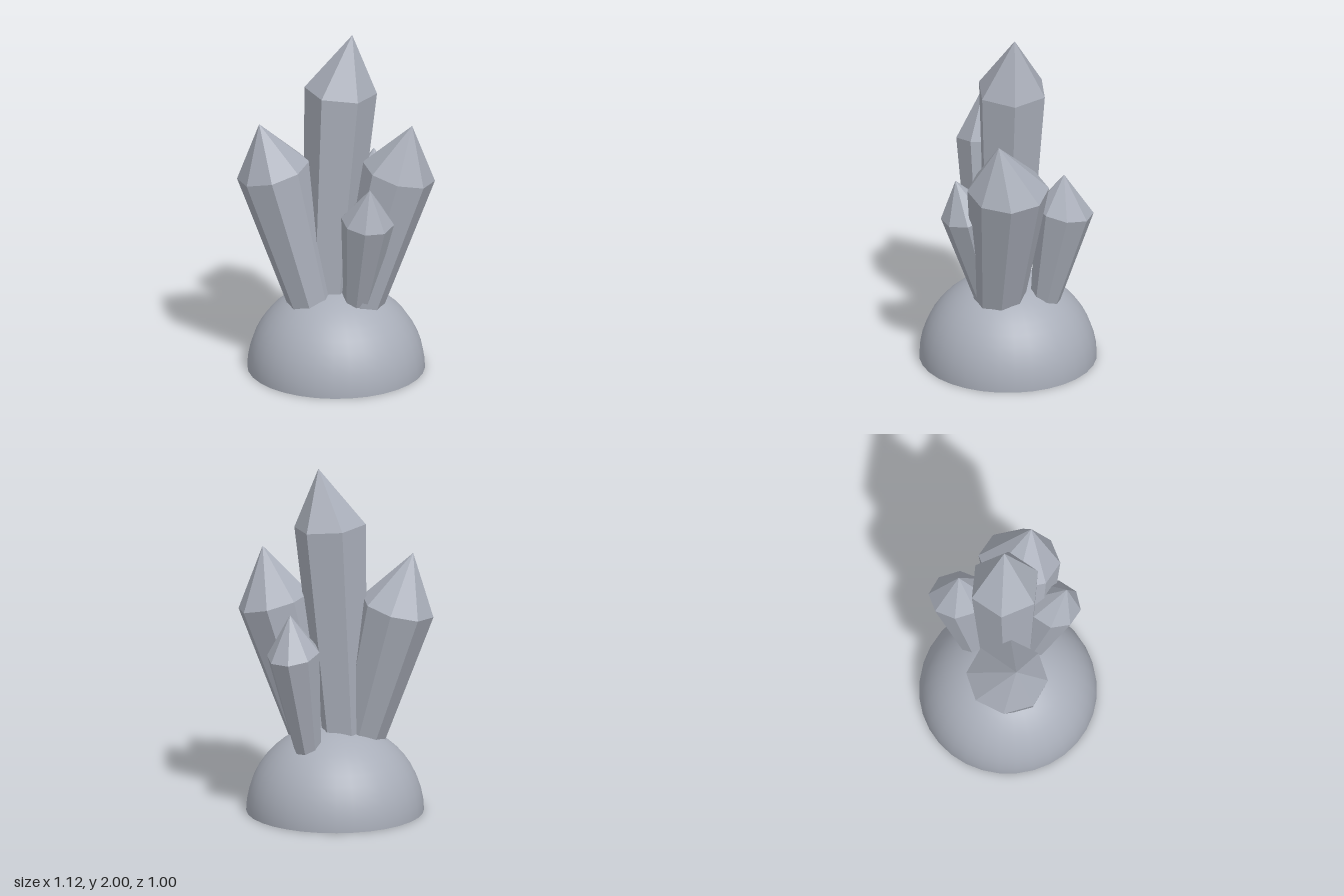
import * as THREE from 'three';

// A leaning, faceted crystal: a tapered prism between two rings, closed by a point.
// ring, base: [x, y, z] centres; radii: [x, z]; lean: [x, z] slope of the axis.
function crystalGeometry({ sides, ring, ringR, base, baseR, tip, lean, turn = 0 }) {
  const extend = 1.2; // runs the shaft on into the dome
  const top = new THREE.Vector3(...ring);
  const foot = top.clone().lerp(new THREE.Vector3(...base), extend);
  const footR = ringR.map((r, k) => r + (baseR[k] - r) * extend);
  const point = new THREE.Vector3(...tip);

  // Corner i of a ring set square to the leaning axis
  const corner = (c, r, i) => {
    const a = turn + ((i % sides) / sides) * Math.PI * 2;
    const dx = r[0] * Math.cos(a);
    const dz = r[1] * Math.sin(a);
    return new THREE.Vector3(c.x + dx, c.y - lean[0] * dx - lean[1] * dz, c.z + dz);
  };

  const pts = [];
  for (let i = 0; i < sides; i++) {
    const b0 = corner(foot, footR, i);
    const b1 = corner(foot, footR, i + 1);
    const t0 = corner(top, ringR, i);
    const t1 = corner(top, ringR, i + 1);
    pts.push(b0, t0, t1, b0, t1, b1); // shaft
    pts.push(t0, point, t1); // point
    pts.push(b0, b1, foot); // underside
  }
  const g = new THREE.BufferGeometry().setFromPoints(pts);
  g.computeVertexNormals();
  return g;
}

export function createModel() {
  const group = new THREE.Group();
  const stone = new THREE.MeshStandardMaterial({ color: 0xa9aeb9 });
  stone.name = 'grey stone';

  const add = (name, geometry) => {
    const mesh = new THREE.Mesh(geometry, stone);
    mesh.name = name;
    group.add(mesh);
  };

  // Smooth half-round base with a flat underside
  add('domeBase', new THREE.SphereGeometry(0.502, 32, 12, 0, Math.PI * 2, 0, Math.PI / 2)
    .scale(1, 0.99, 1));
  add('domeUnderside', new THREE.CircleGeometry(0.502, 32).rotateX(Math.PI / 2));

  // Tall six-sided crystal in the middle
  add('centreCrystal', crystalGeometry({
    sides: 6, ring: [0.025, 1.668, -0.02], ringR: [0.205, 0.205],
    base: [-0.045, 0.5, 0], baseR: [0.14, 0.14],
    tip: [0.09, 2, -0.03], lean: [0.085, 0],
  }));

  // Mirrored pair leaning out to the sides
  for (const [name, s] of [['leftCrystal', 1], ['rightCrystal', -1]]) {
    add(name, crystalGeometry({
      sides: 8, ring: [s * 0.355, 1.2, 0.03], ringR: [0.204, 0.232],
      base: [s * 0.15, 0.45, 0.06], baseR: [0.13, 0.148],
      tip: [s * 0.432, 1.5, 0.09], lean: [s * 0.27, 0],
    }));
  }

  // Small crystals at the front and back
  add('frontCrystal', crystalGeometry({
    sides: 8, ring: [0.185, 0.98, 0.248], ringR: [0.15, 0.148],
    base: [0.125, 0.45, 0.128], baseR: [0.081, 0.08],
    tip: [0.2, 1.195, 0.315], lean: [0.1, 0.2], turn: 0.06,
  }));
  add('backCrystal', crystalGeometry({
    sides: 8, ring: [0.185, 0.985, -0.305], ringR: [0.15, 0.164],
    base: [0.125, 0.45, -0.21], baseR: [0.082, 0.09],
    tip: [0.205, 1.21, -0.3], lean: [0.1, -0.18],
  }));

  return group;
}
